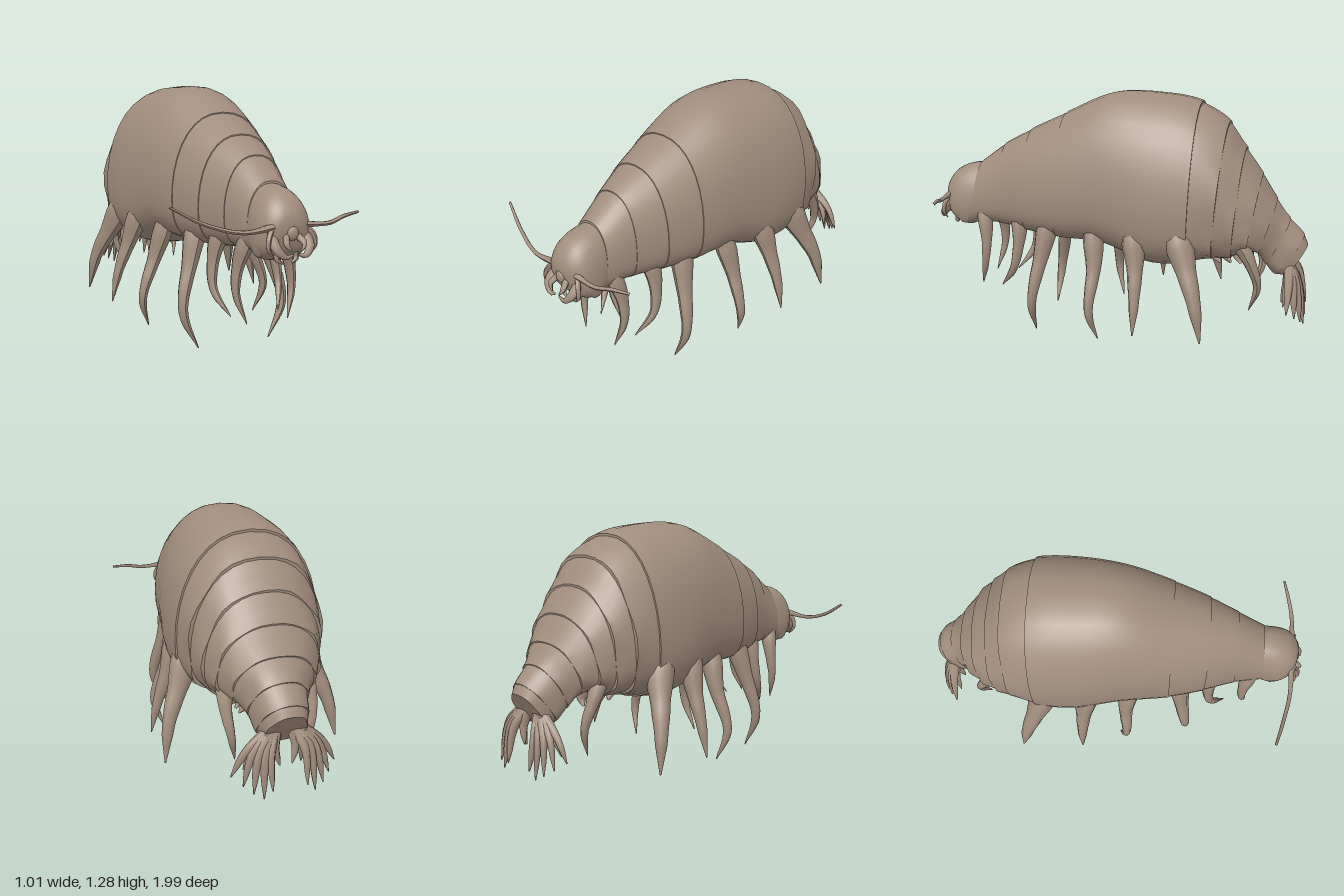
import * as THREE from 'three';
import { toCreasedNormals } from 'three/addons/utils/BufferGeometryUtils.js';

const CX = 0.03; // the body's own middle line
const V = (x, y, z) => new THREE.Vector3(x, y, z);

// Body sections, front to back: top z, top y, bottom z, bottom y, half width
const BODY = [
  [0.76, 0.88, 0.80, 0.55, 0.132], [0.62, 0.985, 0.64, 0.55, 0.172],
  [0.47, 1.07, 0.48, 0.53, 0.23], [0.28, 1.165, 0.30, 0.51, 0.285],
  [0.03, 1.275, 0.05, 0.50, 0.332], [-0.20, 1.282, -0.20, 0.42, 0.37],
  [-0.40, 1.25, -0.38, 0.43, 0.368], [-0.55, 1.16, -0.50, 0.46, 0.338],
  [-0.64, 1.03, -0.60, 0.47, 0.30], [-0.73, 0.90, -0.67, 0.50, 0.262],
  [-0.81, 0.77, -0.73, 0.50, 0.21], [-0.88, 0.67, -0.77, 0.44, 0.15],
  [-0.96, 0.585, -0.82, 0.38, 0.125], [-0.985, 0.53, -0.88, 0.37, 0.10],
];
const HEAD = [
  [0.965, 0.71, 0.945, 0.63, 0.05], [0.95, 0.77, 0.93, 0.59, 0.095],
  [0.90, 0.83, 0.89, 0.55, 0.128], [0.83, 0.862, 0.83, 0.53, 0.138],
  [0.73, 0.875, 0.77, 0.55, 0.13],
];

// Closed shell through sections t0..t1, scaled by flare(p, angle) around each centre
function loft(keys, t0, t1, steps, flare) {
  const top = new THREE.CatmullRomCurve3(keys.map(k => V(k[4], k[1], k[0])));
  const bottom = new THREE.CatmullRomCurve3(keys.map(k => V(0, k[3], k[2])));
  const N = 36, W = N + 1, pos = [], index = [];
  for (let i = -1; i <= steps + 1; i++) {
    const p = Math.min(Math.max(i / steps, 0), 1);
    const cap = i < 0 || i > steps;
    const t = (t0 + (t1 - t0) * p) / (keys.length - 1);
    const T = top.getPoint(t), B = bottom.getPoint(t);
    for (let j = 0; j <= N; j++) {
      const a = (j / N) * Math.PI * 2, c = Math.cos(a), s = Math.sin(a);
      const k = cap ? 0 : flare(p, a);
      const low = s < 0;
      const x = Math.sign(c) * Math.abs(c) ** (low ? 0.7 : 0.87);
      const v = 0.36 + k * (low ? -0.36 * (-s) ** 0.75 : 0.64 * s);
      pos.push(CX + T.x * x * k, B.y + (T.y - B.y) * v, B.z + (T.z - B.z) * v);
    }
  }
  for (let i = 0; i < steps + 2; i++)
    for (let j = 0; j < N; j++) {
      const a = i * W + j, b = a + W;
      index.push(a, b, a + 1, a + 1, b, b + 1);
    }
  const g = new THREE.BufferGeometry();
  g.setAttribute('position', new THREE.Float32BufferAttribute(pos, 3));
  g.setIndex(index);
  return toCreasedNormals(g, 0.7);
}

// Tapered limb along points; radii are spread evenly from root to tip
function limb(points, radii, segs = 16, sides = 8) {
  const curve = new THREE.CatmullRomCurve3(points);
  const g = new THREE.TubeGeometry(curve, segs, 1, sides);
  const P = g.attributes.position, q = V(0, 0, 0);
  for (let i = 0; i < P.count; i++) {
    const t = Math.floor(i / (sides + 1)) / segs;
    const f = t * (radii.length - 1), k = Math.min(Math.floor(f), radii.length - 2);
    const r = THREE.MathUtils.lerp(radii[k], radii[k + 1], f - k);
    const c = curve.getPointAt(t);
    q.fromBufferAttribute(P, i).sub(c).multiplyScalar(r).add(c);
    P.setXYZ(i, q.x, q.y, q.z);
  }
  g.computeVertexNormals();
  return g;
}

export function createModel() {
  const model = new THREE.Group();
  const shell = new THREE.MeshStandardMaterial({ color: 0xa18d7c });
  shell.name = 'dull brown shell';
  const add = (name, geometry) => {
    const m = new THREE.Mesh(geometry, shell);
    m.name = name;
    model.add(m);
    return m;
  };
  const pair = (name, pts, radii, segs, sides) => {
    for (const s of [-1, 1])
      add(name, limb(pts.map(p => V(CX + s * p[0], p[1], p[2])), radii, segs, sides));
  };

  // Front plates, each standing slightly proud of the one ahead
  for (let i = 0; i < 3; i++)
    add('frontPlate', loft(BODY, i, i + 1.12, 6, p => 1 + 0.01 * (1 - p) ** 2 - 0.008 * p));
  // Large smooth back shell
  add('backShell', loft(BODY, 3, 6.15, 18, p => 1 + 0.006 * (1 - p) ** 6 + 0.01 * p ** 8));
  // Rear plates with flared, ragged hind edges on the flanks
  for (let i = 6; i < 13; i++)
    add('rearPlate', loft(BODY, i - 0.1, Math.min(i + 1.15, 13), 5, (p, a) =>
      0.985 + p * p * (0.03 + 0.03 * Math.abs(Math.cos(a)) * Math.sin(a * 7 + i * 2))));

  // Head, cheeks and eyes
  add('head', loft(HEAD, 0, 4, 12, () => 1));
  for (const s of [-1, 1]) {
    const cheek = add('cheek', new THREE.SphereGeometry(1, 12, 8));
    cheek.scale.set(0.03, 0.07, 0.05);
    cheek.position.set(CX + s * 0.105, 0.62, 0.84);
    const eye = add('eye', new THREE.SphereGeometry(0.02, 12, 8));
    eye.position.set(CX + s * 0.095, 0.70, 0.91);
  }

  // Mouthparts
  const lip = add('upperLip', new THREE.SphereGeometry(1, 12, 8));
  lip.scale.set(0.03, 0.035, 0.02);
  lip.position.set(CX, 0.675, 0.955);
  pair('mandible', [[0.085, 0.66, 0.92], [0.085, 0.61, 0.965], [0.05, 0.575, 0.985], [0.01, 0.585, 0.985]],
    [0.022, 0.024, 0.016, 0.003], 10);
  pair('innerPalp', [[0.03, 0.66, 0.95], [0.045, 0.63, 0.985], [0.025, 0.60, 0.995]], [0.016, 0.014, 0.003], 8);
  pair('outerPalp', [[0.08, 0.70, 0.92], [0.115, 0.66, 0.95], [0.12, 0.61, 0.955], [0.09, 0.57, 0.95]],
    [0.014, 0.012, 0.01, 0.003], 10);
  pair('chinPalp', [[0.04, 0.60, 0.90], [0.05, 0.55, 0.91], [0.02, 0.53, 0.92]], [0.022, 0.015, 0.004], 8);

  // Antennae, the right one longer
  const feeler = [0.018, 0.011, 0.01, 0.009, 0.006];
  add('rightAntenna', limb([V(-0.04, 0.705, 0.93), V(-0.2, 0.69, 0.925), V(-0.36, 0.73, 0.885),
    V(-0.51, 0.81, 0.835)], feeler, 24, 6));
  add('leftAntenna', limb([V(0.10, 0.705, 0.93), V(0.24, 0.7, 0.93), V(0.33, 0.72, 0.91),
    V(0.43, 0.73, 0.885)], feeler, 24, 6));

  // Walking legs, front to back: offset from the middle, y, z
  const legs = [
    [[0.10, 0.62, 0.73], [0.135, 0.50, 0.71], [0.15, 0.36, 0.715], [0.11, 0.215, 0.75]],
    [[0.13, 0.63, 0.52], [0.165, 0.50, 0.515], [0.18, 0.34, 0.545], [0.13, 0.22, 0.63]],
    [[0.17, 0.64, 0.34], [0.22, 0.46, 0.37], [0.28, 0.20, 0.415], [0.20, 0.01, 0.42]],
    [[0.23, 0.60, 0.09], [0.285, 0.42, 0.075], [0.36, 0.20, 0.085], [0.315, 0.04, 0.05]],
    [[0.29, 0.62, -0.13], [0.335, 0.48, -0.15], [0.40, 0.30, -0.16], [0.44, 0.13, -0.16]],
    [[0.29, 0.64, -0.35], [0.35, 0.50, -0.40], [0.42, 0.33, -0.46], [0.455, 0.13, -0.50]],
    [[0.20, 0.60, -0.64], [0.215, 0.48, -0.71], [0.20, 0.35, -0.75], [0.17, 0.21, -0.71]],
  ];
  legs.forEach((pts, i) => {
    const k = [0.75, 0.8, 1, 0.95, 1.05, 1.3, 0.75][i];
    pair('leg', pts, [0.056, 0.058, 0.048, 0.038, 0.034, 0.027, 0.023, 0.013, 0.003].map(r => r * k), 20, 8);
  });

  // Small gill lobes under the rear body
  for (let i = 0; i < 4; i++)
    pair('gillLobe', [[0.08 + 0.04 * (i % 2), 0.54, -0.5 - 0.06 * i], [0.12, 0.48, -0.52 - 0.06 * i],
      [0.15, 0.45, -0.56 - 0.05 * i]], [0.035, 0.028, 0.005], 6, 6);

  // Tail claws: a hand-like cluster on each side, given by tip offset, y and z
  const claws = [
    [0.03, 0.27, -0.93], [0.085, 0.18, -0.99], [0.125, 0.145, -0.985], [0.17, 0.17, -0.97],
    [0.21, 0.20, -0.94], [0.255, 0.235, -0.90], [0.10, 0.24, -0.87], [0.19, 0.25, -0.88],
  ];
  for (const [x, y, z] of claws)
    pair('tailClaw', [[0.035 + x * 0.2, 0.43, -0.90], [0.03 + x * 0.62, 0.35, (z - 0.91) / 2], [x, y, z]],
      [0.028, 0.024, 0.019, 0.015, 0.003], 10, 6);
  return model;
}
